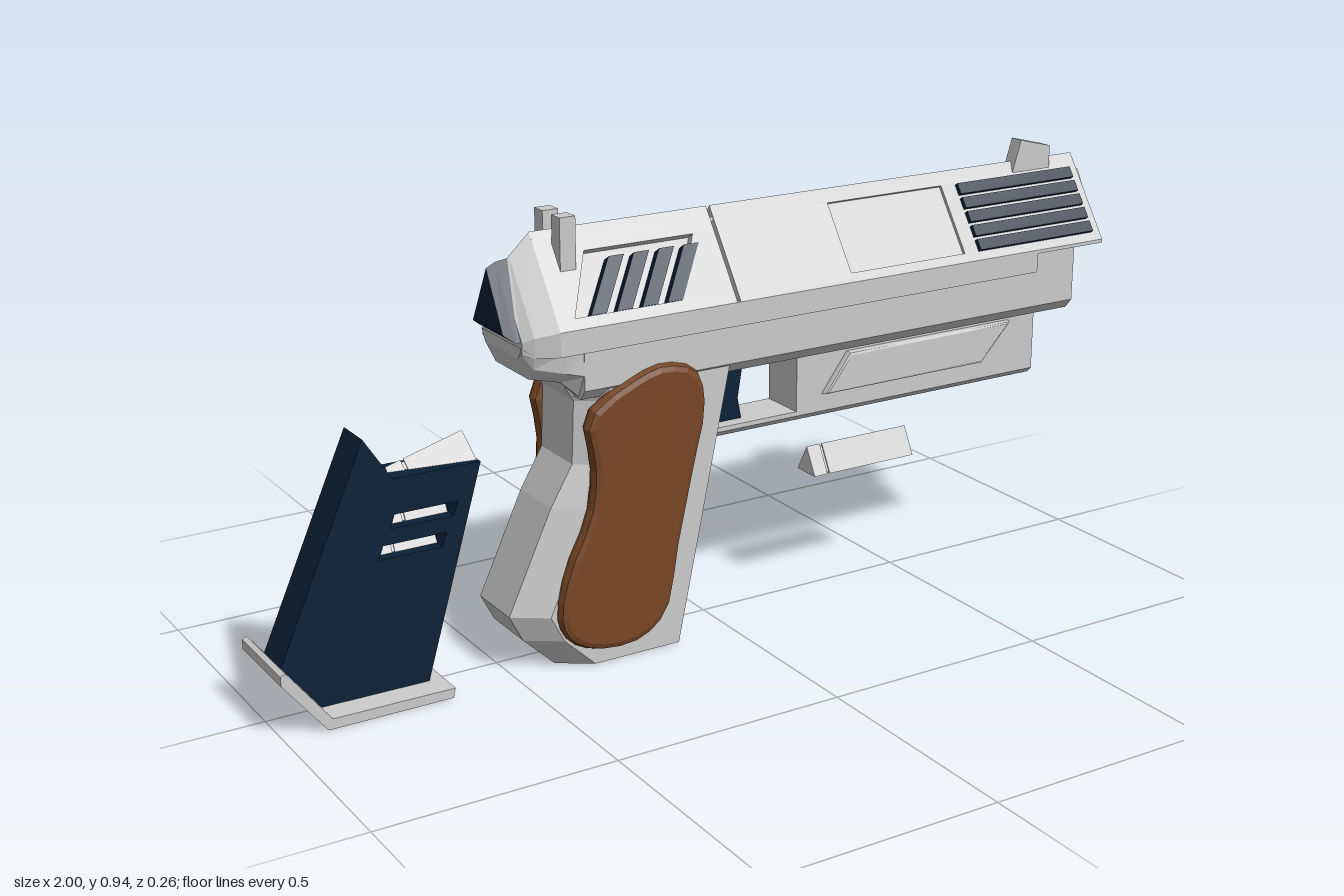
import * as THREE from 'three';

const paint = (color) => new THREE.MeshStandardMaterial({ color, flatShading: true, roughness: 0.7 });
const GREY = paint(0xcccccc), NAVY = paint(0x0b2138), BROWN = paint(0x784726), DARK = paint(0x333333);
DARK.side = THREE.DoubleSide;

function add(parent, name, geometry, material = GREY) {
  const mesh = new THREE.Mesh(geometry, material);
  mesh.name = name;
  parent.add(mesh);
  return mesh;
}

// Skin a list of equal-length rings of [x, y, z]; the winding is fixed by signed volume.
function loft(rings, capStart = true, capEnd = true) {
  const n = rings[0].length, pts = rings.flat(), tris = [];
  for (let r = 0; r < rings.length - 1; r++) {
    for (let i = 0; i < n; i++) {
      const a = r * n + i, b = r * n + (i + 1) % n;
      tris.push([a, b, b + n], [a, b + n, a + n]);
    }
  }
  const last = (rings.length - 1) * n;
  for (let i = 1; i < n - 1; i++) {
    if (capStart) tris.push([0, i + 1, i]);
    if (capEnd) tris.push([last, last + i, last + i + 1]);
  }
  const v = (i) => new THREE.Vector3(...pts[i]);
  const volume = tris.reduce((s, [a, b, c]) => s + v(a).dot(v(b).cross(v(c))), 0);
  const index = tris.flatMap((t) => (volume < 0 ? [t[0], t[2], t[1]] : t));
  const g = new THREE.BufferGeometry();
  g.setAttribute('position', new THREE.Float32BufferAttribute(pts.flat(), 3));
  g.setIndex(index);
  const flat = g.toNonIndexed();
  flat.computeVertexNormals();
  return flat;
}

// Half section of [z, y] points from top to bottom, mirrored into a ring at x.
const ring = (x, half) => [
  ...half.map(([z, y]) => [x, y, z]),
  ...half.filter(([z]) => z > 0).reverse().map(([z, y]) => [x, y, -z]),
];
const prism = (half, x0, x1) => loft([ring(x0, half), ring(x1, half)]);

const block = (x0, x1, y0, y1, z0, z1) =>
  new THREE.BoxGeometry(x1 - x0, y1 - y0, z1 - z0).translate((x0 + x1) / 2, (y0 + y1) / 2, (z0 + z1) / 2);

const outline = (pts) => new THREE.Shape(pts.map((p) => new THREE.Vector2(...p)));
function slab(pts, z0, z1, { holes = [], bevel = 0 } = {}) {
  const shape = outline(pts);
  shape.holes = holes.map(outline);
  return new THREE.ExtrudeGeometry(shape, {
    depth: z1 - z0 - 2 * bevel, bevelEnabled: bevel > 0, bevelSize: bevel,
    bevelThickness: bevel, bevelOffset: -bevel, bevelSegments: 2,
  }).translate(0, 0, z0 + bevel);
}
const rect = (x0, x1, y0, y1) => [[x0, y0], [x1, y0], [x1, y1], [x0, y1]];

// Roof-shaped slide: each face is drawn flat, then tilted onto the slope.
const APEX = 0.895, EAVE = 0.72, HALF = 0.122;
const SLOPE = Math.hypot(APEX - EAVE, HALF), TILT = Math.atan2(HALF, APEX - EAVE);
const up = (y) => (y - EAVE) * SLOPE / (APEX - EAVE);
const SKIN = 0.02, TOP = SLOPE - 0.03;

function roofSide(side) {
  const g = new THREE.Group();
  g.name = side > 0 ? 'slideFaceLeft' : 'slideFaceRight';
  const lo = up(0.74), hi = up(0.85);
  const port = rect(0.295, 0.595, up(0.737), up(0.868));
  add(g, 'rearFace', slab(rect(-0.4, 0.006, 0, TOP), -SKIN, 0,
    { holes: [[[-0.36, lo], [-0.12, lo], [-0.045, hi], [-0.296, hi]]] }));
  add(g, 'frontFace', slab(rect(0.014, 0.975, 0, TOP), -SKIN, 0, { holes: side > 0 ? [port] : [] }));
  // Slanted rear vents
  for (let i = 0; i < 4; i++) {
    const x = -0.325 + i * 0.058, t = hi - 0.02;
    add(g, 'rearVentBar', slab([[x, lo], [x + 0.035, lo], [x + 0.112, t], [x + 0.077, t]], -SKIN - 0.002, 0.002), NAVY);
  }
  // Long front vents
  for (let i = 0; i < 5; i++) {
    const v = 0.02 + i * 0.033;
    add(g, 'frontVentBar', slab(rect(0.632, 0.95, v, v + 0.025), -0.005, 0.01), NAVY);
  }
  if (side > 0) add(g, 'portCover', slab(port, -SKIN, -0.007));
  else add(g, 'raisedPanel', slab([[0.06, up(0.74)], [0.43, up(0.74)], [0.57, up(0.865)], [0.17, up(0.865)]], -0.004, 0.008, { bevel: 0.004 }));
  g.rotation.x = -TILT;
  g.position.set(0, EAVE, HALF);
  const mirror = new THREE.Group();
  mirror.name = g.name + 'Mount';
  mirror.scale.z = side;
  mirror.add(g);
  return mirror;
}

function makeSlide() {
  const g = new THREE.Group();
  g.name = 'slide';
  const drop = SKIN / Math.sin(TILT);
  add(g, 'core', prism([[0, APEX - drop], [HALF, EAVE - drop], [HALF, 0.67]], -0.4, 0.79));
  add(g, 'frontCore', prism([[0, APEX - drop], [0.118, 0.7201], [0.118, 0.716]].map(([z, y]) => [z * 0.85, y]), 0.78, 0.974));
  add(g, 'eave', block(-0.4, 0.975, 0.712, EAVE, -HALF, HALF));
  add(g, 'rail', block(-0.4, 0.79, 0.67, 0.713, -HALF, HALF));
  const ridge = [[0, APEX], [0.0172, APEX - 0.0246]];
  add(g, 'rearRidge', prism(ridge, -0.4, 0.006));
  add(g, 'frontRidge', prism(ridge, 0.014, 0.975));
  g.add(roofSide(1), roofSide(-1));
  // Tapered rear and its plug
  add(g, 'rearCap', loft([
    ring(-0.4, [[0, APEX], [HALF, EAVE], [HALF, 0.67]]),
    ring(-0.445, [[0, 0.853], [0.1, 0.71], [0.1, 0.67]]),
    ring(-0.465, [[0, 0.83], [0.085, 0.7], [0.085, 0.675]]),
  ]));
  add(g, 'rearPlug', loft([
    ring(-0.44, [[0, 0.85], [0.085, 0.705]]),
    ring(-0.475, [[0, 0.845], [0.08, 0.7]]),
    ring(-0.495, [[0, 0.835], [0.065, 0.715]]),
  ]), NAVY);
  // Sights
  for (const s of [-1, 1]) add(g, 'rearSight', block(-0.36, -0.325, 0.82, 0.928, s * 0.035 - 0.017, s * 0.035 + 0.017));
  add(g, 'frontSight', slab([[0.795, 0.87], [0.9, 0.87], [0.9, 0.922], [0.817, 0.943]], -0.016, 0.016));
  // Triangular muzzle
  const muzzle = slab([[-0.057, 0.746], [0.057, 0.746], [0, 0.855]], 0, 0.03,
    { holes: [[[-0.043, 0.754], [0.043, 0.754], [0, 0.838]]] });
  add(g, 'muzzle', muzzle.rotateY(Math.PI / 2).translate(0.97, 0, 0));
  add(g, 'bore', prism([[0, 0.842], [0.046, 0.752]], 0.96, 0.978), DARK);
  return g;
}

function makeFrame() {
  const g = new THREE.Group();
  g.name = 'frame';
  const body = [[0.115, 0.672], [0.115, 0.59], [0.097, 0.568]];
  add(g, 'frameBody', prism(body, -0.345, 0.9));
  add(g, 'frontStep', block(0.78, 0.9, 0.66, 0.715, -0.115, 0.115));
  add(g, 'tail', loft([
    ring(-0.34, [[0.115, 0.675], [0.115, 0.62], [0.09, 0.568]]),
    ring(-0.38, [[0.112, 0.675], [0.108, 0.63], [0.08, 0.605]]),
    ring(-0.445, [[0.1, 0.675], [0.09, 0.645], [0.07, 0.62]]),
    ring(-0.467, [[0.085, 0.69], [0.08, 0.68], [0.07, 0.665]]),
  ]));
  // Under-barrel housing with raised side panels, and the guard below the trigger
  add(g, 'underHousing', prism([[0.053, 0.575], [0.053, 0.422], [0.042, 0.41]], 0.2, 0.845));
  for (const s of [1, -1]) {
    const panel = slab([[0.265, 0.462], [0.69, 0.462], [0.768, 0.547], [0.328, 0.547]], 0.045, 0.068, { bevel: 0.007 });
    if (s < 0) panel.rotateY(Math.PI).scale(-1, 1, 1).index;
    const mesh = add(g, 'housingPanel', s > 0 ? panel : slab([[-0.768, 0.547], [-0.69, 0.462], [-0.265, 0.462], [-0.328, 0.547]], 0.045, 0.068, { bevel: 0.007 }));
    if (s < 0) mesh.rotation.y = Math.PI;
  }
  add(g, 'triggerGuard', prism([[0.053, 0.432], [0.053, 0.422], [0.042, 0.41]], -0.06, 0.21));
  add(g, 'trigger', slab([[-0.02, 0.435], [0.075, 0.435], [0.066, 0.48], [0.082, 0.58], [-0.02, 0.58]], -0.03, 0.03), NAVY);
  return g;
}

function makeGrip() {
  const g = new THREE.Group();
  g.name = 'grip';
  const section = (y, back, inset = 0) => {
    const front = -0.13 + 0.21 * y - inset, b = back + inset, w = 0.112 - inset, c = 0.065 - inset / 2;
    return [[front, y, w], [b + 0.07, y, w], [b, y, c], [b, y, -c], [b + 0.07, y, -w], [front, y, -w]];
  };
  const steps = [[0.6, -0.37], [0.557, -0.344], [0.424, -0.35], [0.34, -0.4], [0.125, -0.5], [0.067, -0.47], [0, -0.4]];
  add(g, 'gripBody', loft([...steps.map(([y, b]) => section(y, b)), section(0, -0.4, 0.012), section(0.2, -0.4, 0.012)]));
  add(g, 'magazineWell', loft([section(0.19, -0.4, 0.014), section(0.001, -0.4, 0.014)], true, false), DARK);
  // Wooden side panels
  const curve = new THREE.CatmullRomCurve3([
    [-0.243, 0.6], [-0.168, 0.62], [-0.092, 0.595], [-0.072, 0.52], [-0.1, 0.387], [-0.136, 0.227], [-0.168, 0.083],
    [-0.232, 0.035], [-0.328, 0.035], [-0.392, 0.067], [-0.416, 0.12], [-0.397, 0.216], [-0.344, 0.333], [-0.333, 0.43], [-0.344, 0.536],
  ].map(([x, y]) => new THREE.Vector3(x, y, 0)), true);
  const pts = curve.getPoints(36).slice(0, -1).map((p) => [p.x, p.y]);
  for (const s of [1, -1]) add(g, 'gripPanel', slab(pts, 0.095, 0.132, { bevel: 0.015 }), BROWN).scale.z = s;
  return g;
}

// Triangular round lying along +x with its base at y = 0
function makeRound(length) {
  const g = new THREE.Group();
  g.name = 'round';
  const tri = (k) => [[0, 0.02 + 0.04 * k], [0.033 * k, 0.02 - 0.02 * k]];
  add(g, 'roundBase', prism(tri(1), 0, 0.034));
  add(g, 'roundNeck', prism(tri(0.85), 0.03, 0.044));
  add(g, 'roundBody', prism(tri(1), 0.04, length));
  return g;
}

function makeMagazine() {
  const g = new THREE.Group();
  g.name = 'magazine';
  const slot = (x, y) => [[x, y], [x + 0.135, y], [x + 0.145, y + 0.028], [x + 0.01, y + 0.028]];
  add(g, 'magazineBody', slab(
    [[-0.787, 0.552], [-0.979, 0.12], [-0.91, 0.02], [-0.67, 0.02], [-0.541, 0.461], [-0.728, 0.461]],
    -0.043, 0.043, { holes: [slot(-0.738, 0.36), slot(-0.765, 0.3)] }), NAVY);
  // Rounds seen through the slots and at the mouth
  for (const [x, y] of [[-0.735, 0.335], [-0.76, 0.275]]) {
    const r = makeRound(0.13);
    r.position.set(x, y, 0);
    g.add(r);
  }
  const topRound = makeRound(0.172);
  topRound.position.set(-0.709, 0.413, 0);
  topRound.rotation.z = 0.27;
  g.add(topRound);
  add(g, 'basePlate', slab(
    [[-1, 0.115], [-0.91, 0], [-0.645, 0], [-0.64, 0.02], [-0.9, 0.022], [-0.99, 0.14], [-1, 0.135]], -0.1, 0.1));
  return g;
}

export function createModel() {
  const model = new THREE.Group();
  model.name = 'propPistolSet';
  const loose = makeRound(0.265);
  loose.name = 'looseRound';
  loose.position.set(0.265, 0.265, 0);
  model.add(makeSlide(), makeFrame(), makeGrip(), makeMagazine(), loose);
  return model;
}
